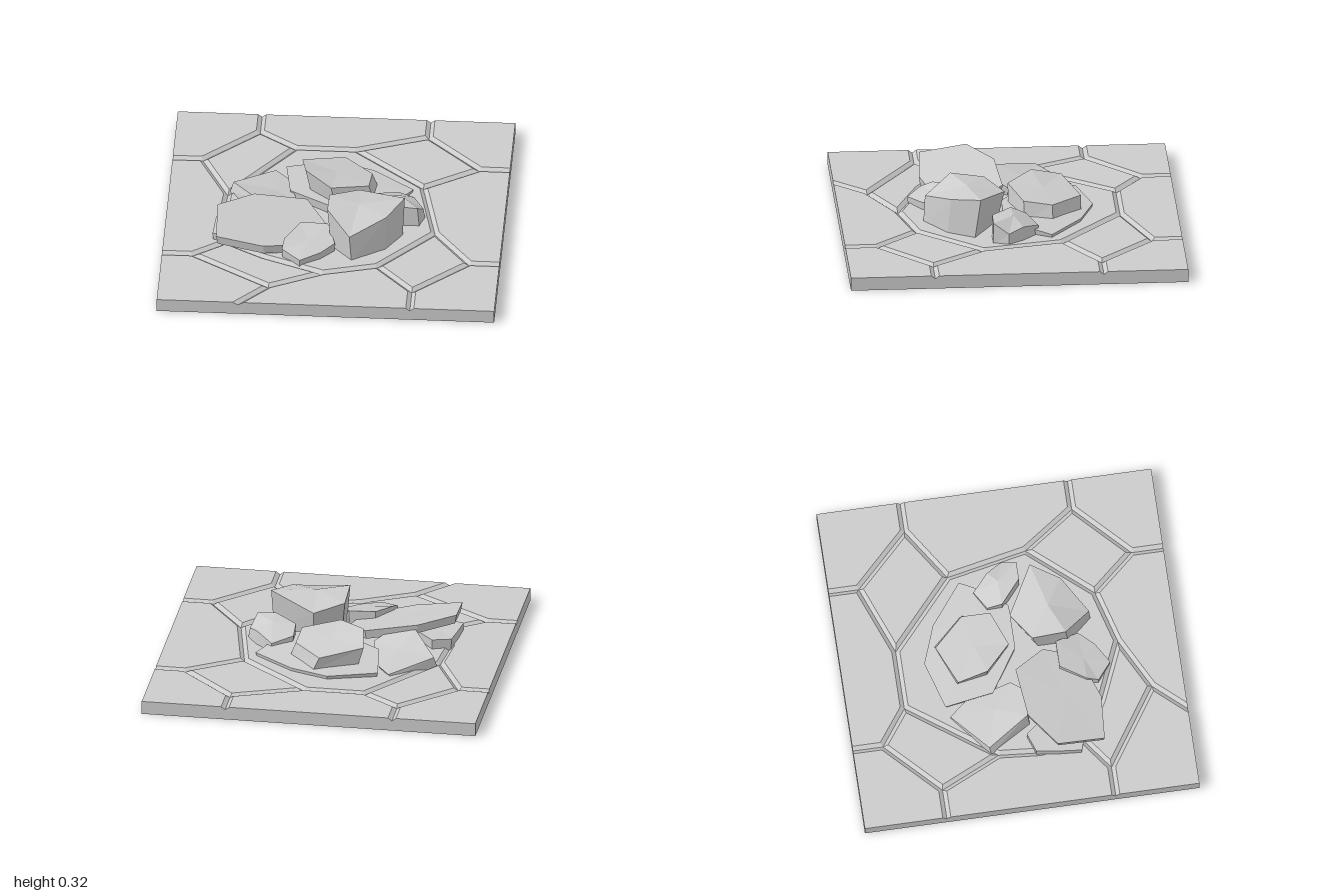
import * as THREE from 'three';

const material = new THREE.MeshStandardMaterial({ color: 0xcccccc, flatShading: true, side: THREE.DoubleSide });
const TOP = 0.08, GROOVE = 0.062, HALF_GROOVE = 0.024;

// Turns convex polygons (lists of [x, y, z], counter-clockwise from outside) into a flat mesh.
function facetMesh(name, polygons) {
  const pos = [];
  for (const p of polygons) {
    for (let i = 1; i < p.length - 1; i++) pos.push(...p[0], ...p[i], ...p[i + 1]);
  }
  const geo = new THREE.BufferGeometry();
  geo.setAttribute('position', new THREE.Float32BufferAttribute(pos, 3));
  geo.computeVertexNormals();
  const mesh = new THREE.Mesh(geo, material);
  mesh.name = name;
  return mesh;
}

// Orders [x, z] outlines so that their caps face up.
function orient(outline) {
  const area = THREE.ShapeUtils.area(outline.map(([x, z]) => new THREE.Vector2(x, -z)));
  return area < 0 ? [...outline].reverse() : outline;
}

const onBorder = (a, b) => [0, 1].some((k) => Math.abs(a[k]) === 1 && a[k] === b[k]);

// One paving stone: flat top, bevels down into the joints, walls along the tile border.
function paver(name, cell) {
  const p = orient(cell), n = p.length;
  const edges = p.map((a, i) => {
    const b = p[(i + 1) % n], dx = b[0] - a[0], dz = b[1] - a[1], l = Math.hypot(dx, dz);
    const border = onBorder(a, b);
    return { nx: dz / l, nz: -dx / l, d: border ? 0 : HALF_GROOVE, border };
  });
  const q = p.map(([x, z], i) => {
    const e = edges[(i + n - 1) % n], f = edges[i], det = e.nx * f.nz - e.nz * f.nx;
    return [x + (e.d * f.nz - f.d * e.nz) / det, z + (e.nx * f.d - f.nx * e.d) / det];
  });
  const at = ([x, z], y) => [x, y, z];
  const tris = THREE.ShapeUtils.triangulateShape(q.map(([x, z]) => new THREE.Vector2(x, -z)), []);
  const polys = tris.map((t) => t.map((i) => at(q[i], TOP)));
  p.forEach((a, i) => {
    const j = (i + 1) % n, b = p[j];
    const rim = [at(a, GROOVE), at(b, GROOVE), at(q[j], TOP), at(q[i], TOP)];
    polys.push(rim);
    if (edges[i].border) polys.push([at(a, 0), at(b, 0), rim[1], rim[0]]);
  });
  return facetMesh(name, polys);
}

// A broken stone: top outline of [x, z, y]; the foot is the outline scaled and shifted,
// lying either at a fixed height or a fixed thickness below the top.
function rock(name, outline, { base = 0.065, thick = 0, scale = 1, shift = [0, 0], peak } = {}) {
  const o = orient(outline), n = o.length;
  const mean = [0, 1, 2].map((k) => o.reduce((s, v) => s + v[k], 0) / n);
  const top = o.map(([x, z, y]) => [x, y, z]);
  const foot = o.map(([x, z, y]) => [
    mean[0] + (x - mean[0]) * scale + shift[0],
    thick ? y - thick : base,
    mean[1] + (z - mean[1]) * scale + shift[1],
  ]);
  const crown = [mean[0], peak ?? mean[2], mean[1]];
  const polys = [[...foot].reverse()];
  for (let i = 0; i < n; i++) {
    const j = (i + 1) % n;
    polys.push([crown, top[i], top[j]], [foot[i], foot[j], top[j], top[i]]);
  }
  return facetMesh(name, polys);
}

export function createModel() {
  const model = new THREE.Group();
  model.name = 'brokenPavingTile';

  // Joint crossings
  const N = {
    a: [-0.5, -0.82], b: [-0.82, -0.51], c: [-0.28, -0.66], d: [0.08, -0.66], e: [0.5, -0.82],
    f: [0.82, -0.5], g: [0.5, -0.29], h: [0.6, 0.19], i: [0.82, 0.5], j: [0.5, 0.81],
    k: [0.28, 0.56], l: [-0.04, 0.65], m: [-0.35, 0.81], n: [-0.82, 0.5], o: [-0.4, 0.5],
    p: [-0.63, 0.36], q: [-0.67, 0.1], r: [-0.65, -0.15],
    A: [-0.5, -1], B: [-1, -0.51], E: [0.5, -1], F: [1, -0.5], I: [1, 0.5], J: [0.5, 1],
    M: [-0.52, 1], Q: [-1, 0.5], W: [-1, -1], X: [1, -1], Y: [1, 1], Z: [-1, 1],
  };
  const cells = {
    centrePaver: 'cdghklopqr',
    backPaver: 'AEedca', rightPaver: 'FIihgf', frontPaver: 'JMmlkj', leftPaver: 'QBbrqpn',
    backLeftCorner: 'WAabB', backRightCorner: 'EXFfe', frontRightCorner: 'IYJji', frontLeftCorner: 'MZQnm',
    backLeftPaver: 'acrb', backRightPaver: 'efgd', frontRightPaver: 'ijkh', frontLeftPaver: 'mnpol',
  };
  const floor = new THREE.Group();
  floor.name = 'pavedFloor';
  for (const [name, keys] of Object.entries(cells)) floor.add(paver(name, [...keys].map((s) => N[s])));
  model.add(floor);

  const rubble = new THREE.Group();
  rubble.name = 'rubble';
  rubble.add(
    // Tall block, leaning forward with an overhanging back
    rock('tallBlock', [
      [-0.03, 0.14, 0.29], [0.14, 0.03, 0.26], [0.42, 0.19, 0.32],
      [0.32, 0.36, 0.29], [0.11, 0.5, 0.235], [-0.03, 0.34, 0.32],
    ], { scale: 0.92, shift: [0.01, 0.03], peak: 0.315 }),
    // Large tilted slab and the low stone it rests on
    rock('tiltedSlab', [
      [-0.69, 0.2, 0.235], [-0.48, 0.05, 0.22], [-0.17, 0.02, 0.175], [-0.05, 0.2, 0.13],
      [-0.1, 0.36, 0.12], [-0.28, 0.46, 0.135], [-0.4, 0.5, 0.15], [-0.68, 0.48, 0.195],
    ], { thick: 0.055, scale: 0.97 }),
    rock('propStone', [
      [-0.71, 0.34, 0.125], [-0.7, 0.2, 0.135], [-0.68, 0.07, 0.135], [-0.57, 0.03, 0.14],
      [-0.43, 0.2, 0.13], [-0.47, 0.42, 0.12],
    ], { scale: 0.98 }),
    // Wedge at the back left
    rock('backWedge', [
      [-0.62, -0.2, 0.13], [-0.38, -0.4, 0.09], [-0.3, -0.3, 0.1], [-0.23, -0.02, 0.13],
      [-0.3, 0.06, 0.16], [-0.47, 0.05, 0.19],
    ], { scale: 1.0, shift: [-0.02, 0.01] }),
    // Low plate with a rock on top of it
    rock('lowPlate', [
      [-0.32, -0.42, 0.105], [-0.03, -0.505, 0.1], [0.2, -0.42, 0.1], [0.445, -0.23, 0.1],
      [0.36, -0.08, 0.12], [0.25, 0.04, 0.13], [-0.02, 0.04, 0.14], [-0.28, -0.13, 0.13],
    ], { scale: 0.97, peak: 0.13 }),
    rock('backRock', [
      [-0.22, -0.33, 0.22], [0.03, -0.43, 0.18], [0.2, -0.25, 0.19], [0.19, -0.08, 0.215],
      [-0.03, 0, 0.245], [-0.19, -0.15, 0.265],
    ], { base: 0.1, scale: 1.0, shift: [0.035, 0] }),
    // Small stones at the right and the front
    rock('rightStone', [
      [0.24, -0.09, 0.16], [0.36, -0.155, 0.13], [0.46, -0.06, 0.16], [0.52, 0.03, 0.14],
      [0.49, 0.12, 0.2], [0.38, 0.12, 0.21], [0.24, 0, 0.2],
    ], { scale: 1.02, shift: [0.01, 0], peak: 0.205 }),
    rock('frontStone', [
      [-0.29, 0.5, 0.135], [-0.28, 0.43, 0.165], [-0.19, 0.28, 0.185], [-0.03, 0.28, 0.18],
      [0.02, 0.42, 0.135], [-0.06, 0.51, 0.125], [-0.18, 0.585, 0.115],
    ], { scale: 0.97 }),
  );
  model.add(rubble);
  return model;
}
